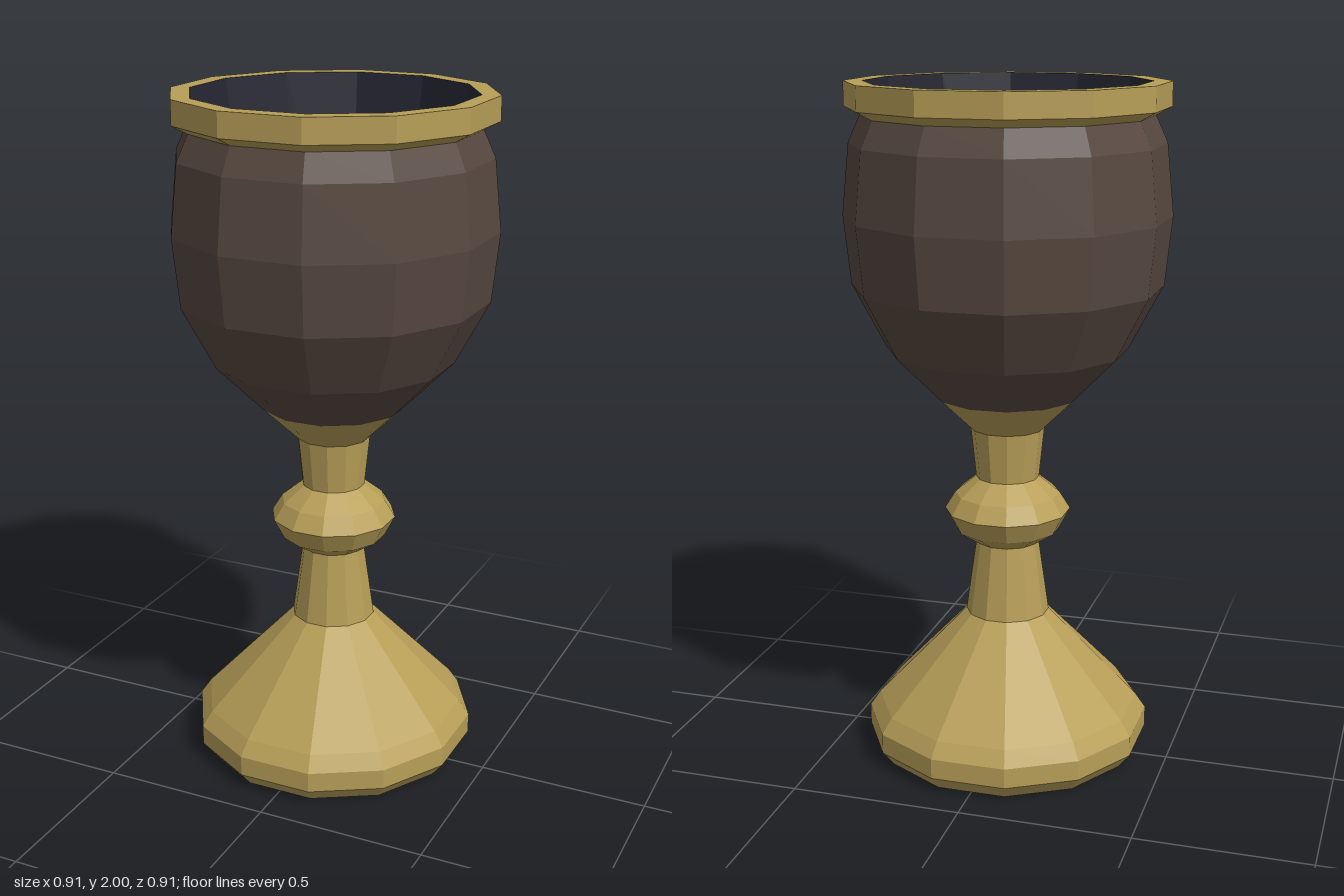
import * as THREE from 'three';

const SIDES = 12;
const HALF = Math.PI / SIDES;

// Faceted turned part; the profile gives [half width across flats, height].
function turned(name, profile, material) {
  const points = profile.map(([w, y]) => new THREE.Vector2(w / Math.cos(HALF), y));
  const geometry = new THREE.LatheGeometry(points, SIDES, HALF).toNonIndexed();
  geometry.computeVertexNormals(); // one normal per facet
  const mesh = new THREE.Mesh(geometry, material);
  mesh.name = name;
  return mesh;
}

function flat(name, color) {
  const material = new THREE.MeshStandardMaterial({ color });
  material.name = name;
  return material;
}

export function createModel() {
  const gold = flat('gold', 0xb89f58);
  const brown = flat('dark brown', 0x574840);
  const dark = flat('dark lining', 0x252632);

  const goblet = new THREE.Group();
  goblet.name = 'goblet';
  goblet.add(
    // Flared foot, closed underneath
    turned('foot', [[0, 0], [0.375, 0], [0.41, 0.045], [0.41, 0.105], [0.38, 0.15], [0.12, 0.43]], gold),
    turned('stem', [[0.12, 0.43], [0.09, 0.65]], gold),
    // Swollen ring on the stem
    turned('knop', [[0.09, 0.65], [0.15, 0.69], [0.18, 0.75], [0.15, 0.8], [0.09, 0.85]], gold),
    // Neck widening into the cup holder
    turned('neck', [[0.09, 0.85], [0.105, 1.0], [0.205, 1.1]], gold),
    turned('bowl', [[0.205, 1.1], [0.34, 1.24], [0.435, 1.425], [0.455, 1.625], [0.435, 1.83], [0.4, 1.91]], brown),
    // Rim band with its flat top
    turned('rim', [[0.4, 1.905], [0.445, 1.93], [0.445, 2], [0.393, 2]], gold),
    // Inner wall and shallow dished floor
    turned('lining', [[0.393, 2], [0.29, 1.28], [0, 1.23]], dark),
  );
  return goblet;
}
